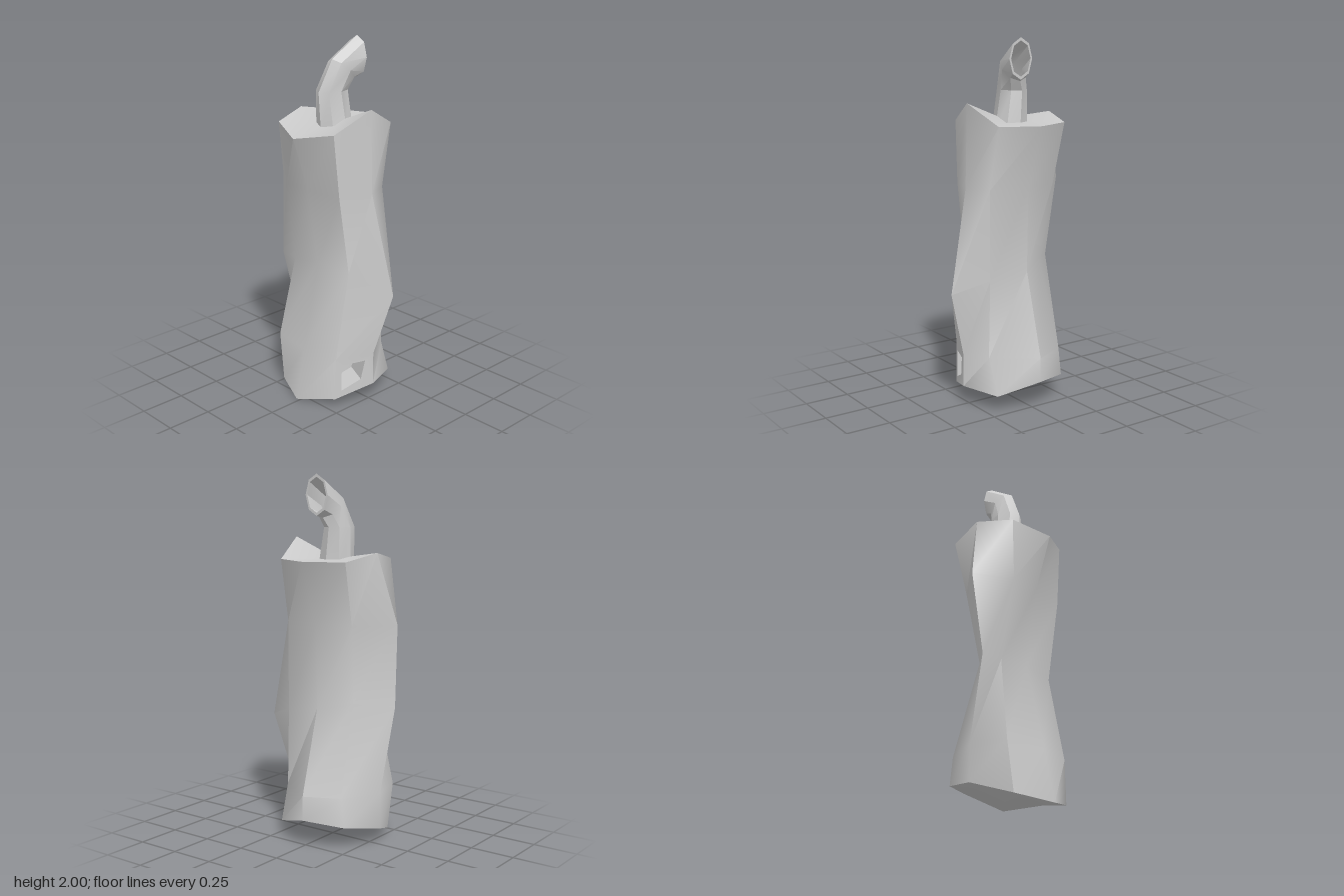
import * as THREE from 'three';
import { toCreasedNormals } from 'three/addons/utils/BufferGeometryUtils.js';

const V = (x, y, z) => new THREE.Vector3(x, y, z);

// Collects triangles and quads (corners anticlockwise from outside)
class Faces {
  constructor() { this.pos = []; }
  tri(...points) { points.forEach(p => this.pos.push(p.x, p.y, p.z)); }
  quad(a, b, c, d) { this.tri(a, b, c); this.tri(a, c, d); }
  // Skin between successive rings; skip(row, column) leaves a gap
  loft(rings, skip = () => false) {
    for (let j = 0; j < rings.length - 1; j++) {
      const lo = rings[j], hi = rings[j + 1], n = lo.length;
      for (let i = 0; i < n; i++) {
        const k = (i + 1) % n;
        if (!skip(j, i)) this.quad(lo[i], lo[k], hi[k], hi[i]);
      }
    }
  }
  fan(ring, centre, flip = false) {
    ring.forEach((p, i) => {
      const q = ring[(i + 1) % ring.length];
      flip ? this.tri(q, p, centre) : this.tri(p, q, centre);
    });
  }
  mesh(name, crease) {
    const geo = new THREE.BufferGeometry();
    geo.setAttribute('position', new THREE.Float32BufferAttribute(this.pos, 3));
    const mat = new THREE.MeshStandardMaterial({ color: 0xcccccc, side: THREE.DoubleSide });
    const mesh = new THREE.Mesh(toCreasedNormals(geo, crease), mat);
    mesh.name = name;
    return mesh;
  }
}

// Eight corners from the front centre round through +x, back and -x
const section = (y, corners) => corners.map(([x, z], i) => V(x, Array.isArray(y) ? y[i] : y, z));

function bodyRings() {
  return [
    section([0.105, 0.09, 0.155, 0.13, 0.09, 0.02, 0, 0.05],
      [[0, 0.285], [0.21, 0.2], [0.3, -0.02], [0.21, -0.23], [0, -0.32], [-0.21, -0.23], [-0.3, -0.02], [-0.21, 0.2]]),
    section(0.29,
      [[0, 0.285], [0.14, 0.21], [0.3, -0.02], [0.21, -0.21], [0, -0.32], [-0.2, -0.27], [-0.24, -0.02], [-0.205, 0.2]]),
    section([0.65, 0.72, 0.75, 0.78, 0.75, 0.75, 0.78, 0.77],
      [[0.045, 0.385], [0.14, 0.2], [0.17, -0.02], [0.06, -0.18], [-0.1, -0.345], [-0.12, -0.22], [-0.13, -0.02], [-0.11, 0.2]]),
    section(1.21,
      [[0, 0.262], [0.14, 0.2], [0.18, -0.02], [0.13, -0.22], [-0.055, -0.385], [-0.19, -0.2], [-0.2, -0.02], [-0.18, 0.2]]),
    section([1.66, 1.55, 1.55, 1.55, 1.59, 1.55, 1.51, 1.55],
      [[0, 0.25], [0.21, 0.19], [0.3, -0.02], [0.21, -0.235], [0, -0.29], [-0.21, -0.235], [-0.3, -0.02], [-0.21, 0.19]]),
  ];
}

function buildBody() {
  const body = new Faces();
  const rings = bodyRings();
  // Twisted shell, left open where the stoke hole goes
  body.loft(rings, (row, col) => row === 0 && col === 7);
  body.fan(rings[4], V(0, 1.55, -0.02));
  body.fan(rings[0], V(0, 0.12, -0.02), true);

  // Panel around the stoke hole
  const outer = [rings[0][7], rings[0][0], rings[1][0], rings[1][7]];
  const at = (u, v) => outer[0].clone().lerp(outer[1], u)
    .lerp(outer[3].clone().lerp(outer[2], u), v);
  const rim = [at(0.16, 0.16), at(0.67, 0.29), at(0.78, 0.82), at(0.16, 0.82)];
  body.loft([outer, rim]);

  // Recess running back from the hole
  const recess = new Faces();
  const back = rim.map(p => p.clone().add(V(0.065, 0, -0.14)));
  recess.loft([rim, back]);
  recess.quad(...back);
  return [body.mesh('body', 0.85), recess.mesh('stokeHole', 0.5)];
}

// Bent chimney: each station has a centre, an in-plane axis and two radii
function buildChimney() {
  const stations = [
    { c: V(0, 1.5, -0.022), axis: V(1, 0, 0), r: 0.1, rz: 0.096 },
    { c: V(-0.004, 1.72, -0.04), axis: V(1, 0, 0), r: 0.096, rz: 0.072 },
    { c: V(0.042, 1.83, -0.015), axis: V(0.75, -0.66, 0), r: 0.09, rz: 0.07 },
    { c: V(0.14, 1.89, 0.003), axis: V(0, -1, 0), r: 0.11, rz: 0.073 },
  ];
  const ringAt = ({ c, axis, r, rz }, s) => Array.from({ length: 8 }, (_, i) => {
    const t = i * Math.PI / 4;
    return c.clone().addScaledVector(axis, Math.sin(t) * r * s).add(V(0, 0, Math.cos(t) * rz * s));
  });
  const outside = stations.map(s => ringAt(s, 1));
  const inside = stations.map(s => ringAt(s, 0.85)).reverse();
  const pipe = new Faces();
  pipe.loft([...outside, ...inside]);
  return pipe.mesh('chimney', 0.5);
}

export function createModel() {
  const group = new THREE.Group();
  group.name = 'kiln';
  group.add(...buildBody(), buildChimney());
  return group;
}
